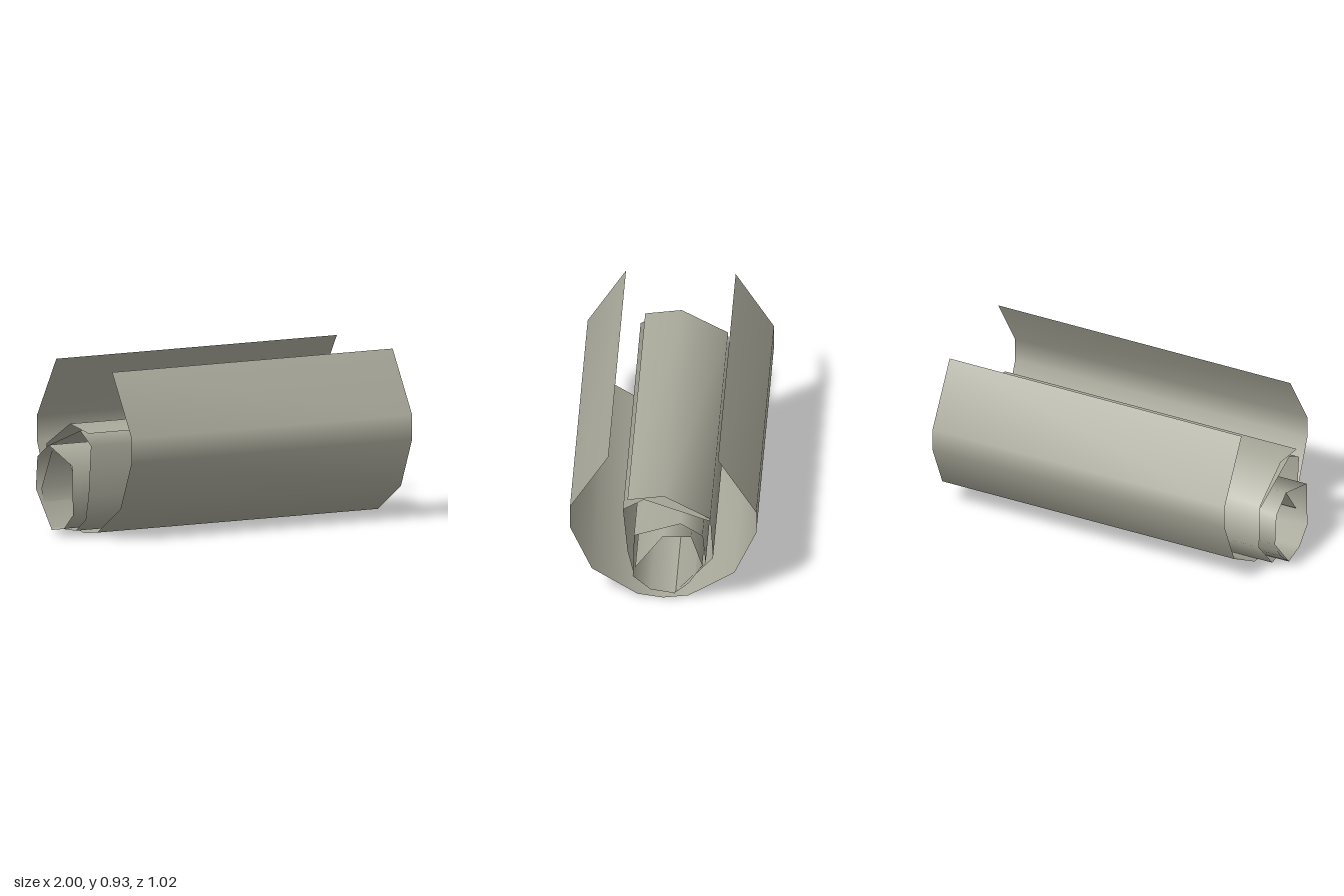
import * as THREE from 'three';

const metal = new THREE.MeshStandardMaterial({ color: 0xaaaa9c, side: THREE.DoubleSide });
metal.name = 'grey khaki sheet';

// Sweeps an open profile of [z, y, optional slide] points from x = left to x = right.
// Slide shifts a point along x, so a roll can be wound slightly askew.
function sheet(name, left, right, profile) {
  const positions = [];
  const index = [];
  profile.forEach(([z, y, slide = 0], i) => {
    positions.push(left + slide, y, z, right + slide, y, z);
    if (i < profile.length - 1) {
      const a = 2 * i;
      index.push(a, a + 2, a + 3, a, a + 3, a + 1);
    }
  });
  const geometry = new THREE.BufferGeometry();
  geometry.setAttribute('position', new THREE.Float32BufferAttribute(positions, 3));
  geometry.setIndex(index);
  geometry.computeVertexNormals();
  const mesh = new THREE.Mesh(geometry, metal);
  mesh.name = name;
  return mesh;
}

export function createModel() {
  const group = new THREE.Group();
  group.name = 'rolledSheets';

  // Open outer trough, mirrored front to back
  const half = [[0.30, 0.925], [0.51, 0.585], [0.51, 0.45], [0.39, 0.18], [0.14, 0.02]];
  const mirrored = half.map(([z, y]) => [-z, y]).reverse();
  group.add(sheet('outerTrough', -0.83, 0.95, [...half, [0, 0], ...mirrored]));

  // Middle roll, overlapping itself at the top with a free lip
  group.add(sheet('middleRoll', -0.92, 0.86, [
    [-0.25, 0.455], [0.11, 0.585], [0.225, 0.515], [0.2, 0.24], [0.168, 0.1],
    [0.06, 0.027], [-0.105, 0.018], [-0.268, 0.21], [-0.253, 0.47], [0, 0.61], [0.2, 0.58],
  ]));

  // Inner roll, its inner flap sliding out past the right end
  group.add(sheet('innerRoll', -1, 0.94, [
    [-0.06, 0.022], [-0.232, 0.23], [-0.215, 0.41], [-0.095, 0.487], [0.16, 0.4],
    [0.167, 0.13], [0.07, 0.045], [-0.06, 0.024], [-0.14, 0.1, 0.01],
    [-0.215, 0.23, 0.025], [-0.155, 0.44, 0.055], [0, 0.44, 0.06], [0.15, 0.23, 0.06],
  ]));

  return group;
}
